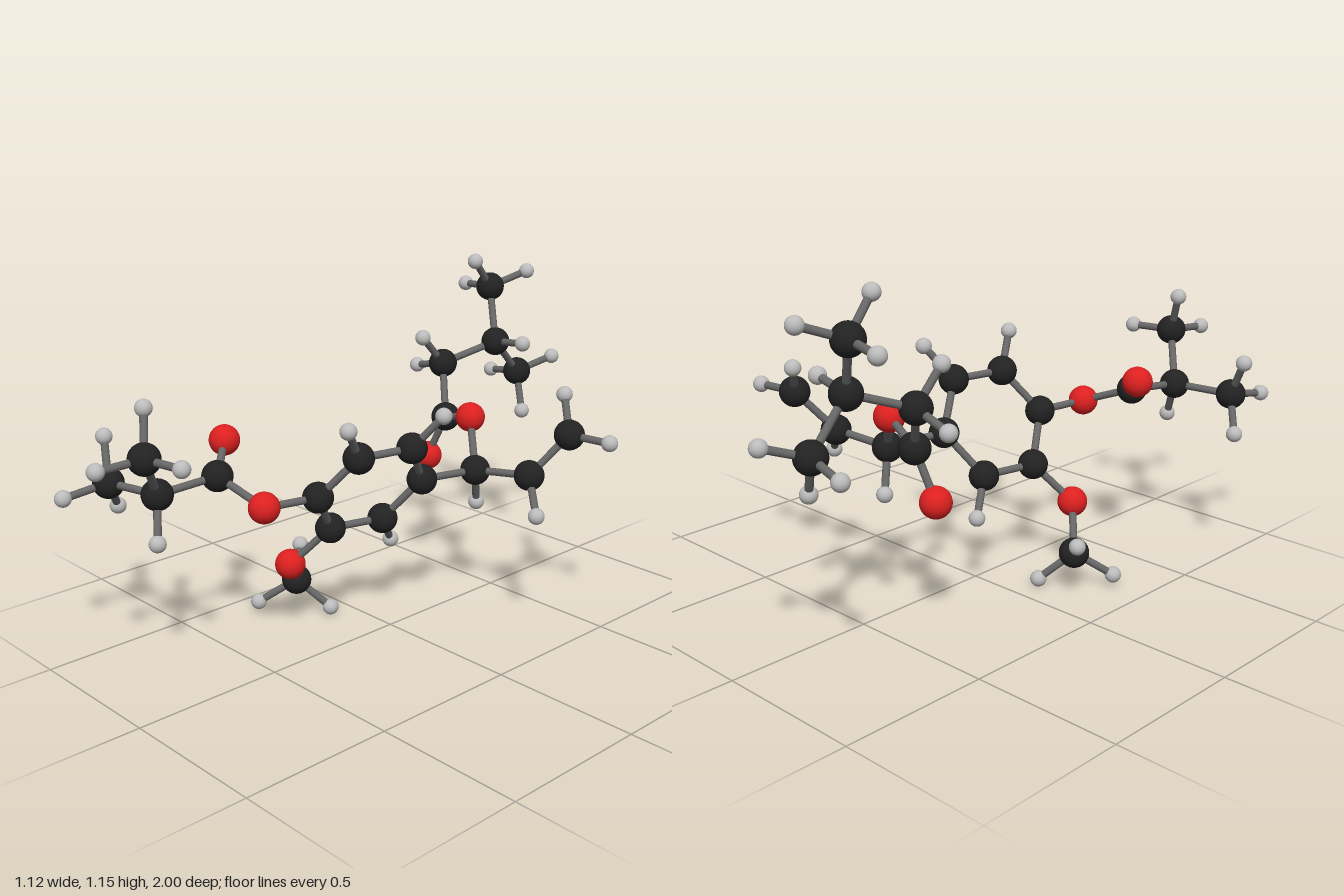
import * as THREE from 'three';

const paint = (color) => new THREE.MeshStandardMaterial({ color });

// Atom kinds: plain name, radius, colour
const KINDS = {
  C: { name: 'carbon', radius: 0.05, color: 0x222222 },
  O: { name: 'oxygen', radius: 0.05, color: 0xdd2020 },
  H: { name: 'hydrogen', radius: 0.027, color: 0xbbbbbb },
};
const BOND_RADIUS = 0.0125;
const BOND_REACH = 0.245; // atoms closer than this are joined

// Atom centres, grouped by fragment and kind
const FRAGMENTS = {
  ring: {
    C: [[0.062, 0.519, -0.083], [0.125, 0.664, 0.025], [0.084, 0.664, 0.214],
      [-0.02, 0.528, 0.292], [-0.087, 0.379, 0.185], [-0.041, 0.376, -0.003]],
    H: [[0.205, 0.774, -0.034], [0.132, 0.779, 0.298], [-0.092, 0.265, -0.088]],
  },
  methoxyArm: {
    O: [[-0.186, 0.248, 0.275]],
    C: [[-0.291, 0.127, 0.164]],
    H: [[-0.382, 0.203, 0.07], [-0.38, 0.046, 0.26], [-0.202, 0.031, 0.09]],
  },
  frontEsterArm: {
    O: [[-0.056, 0.532, 0.477], [-0.339, 0.669, 0.408]],
    C: [[-0.233, 0.6, 0.518], [-0.262, 0.582, 0.722], [-0.466, 0.578, 0.764], [-0.166, 0.741, 0.822]],
    H: [[-0.202, 0.452, 0.77],
      [-0.535, 0.706, 0.727], [-0.535, 0.467, 0.693], [-0.49, 0.556, 0.912],
      [-0.02, 0.74, 0.794], [-0.187, 0.732, 0.972], [-0.222, 0.875, 0.778]],
  },
  vinylArm: {
    C: [[0.105, 0.512, -0.291], [0.305, 0.533, -0.333], [0.383, 0.667, -0.434]],
    H: [[0.064, 0.376, -0.344], [0.393, 0.431, -0.271], [0.302, 0.774, -0.501], [0.529, 0.667, -0.455]],
  },
  backEsterArm: {
    O: [[-0.001, 0.656, -0.376], [-0.242, 0.453, -0.416]],
    C: [[-0.172, 0.609, -0.433], [-0.267, 0.771, -0.514], [-0.182, 0.835, -0.696],
      [-0.267, 1.015, -0.755], [-0.207, 0.693, -0.847]],
    H: [[-0.414, 0.735, -0.531], [-0.266, 0.88, -0.411], [-0.036, 0.854, -0.676],
      [-0.244, 1.122, -0.649], [-0.414, 1.003, -0.783], [-0.204, 1.064, -0.881],
      [-0.15, 0.738, -0.976], [-0.357, 0.668, -0.871], [-0.145, 0.56, -0.81]],
  },
};

export function createModel() {
  const model = new THREE.Group();
  const atoms = [];

  // Atoms: one sphere each, sharing geometry and material by kind
  const looks = {};
  for (const [kind, { radius, color }] of Object.entries(KINDS)) {
    looks[kind] = { geometry: new THREE.SphereGeometry(radius, 32, 20), material: paint(color) };
  }
  for (const [name, lists] of Object.entries(FRAGMENTS)) {
    const fragment = new THREE.Group();
    fragment.name = name;
    for (const [kind, centres] of Object.entries(lists)) {
      for (const centre of centres) {
        const ball = new THREE.Mesh(looks[kind].geometry, looks[kind].material);
        ball.name = KINDS[kind].name;
        ball.position.set(...centre);
        fragment.add(ball);
        atoms.push({ kind, position: ball.position });
      }
    }
    model.add(fragment);
  }

  // Bonds: a rod between every pair of neighbouring atoms
  const bonds = new THREE.Group();
  bonds.name = 'bonds';
  const rod = new THREE.CylinderGeometry(BOND_RADIUS, BOND_RADIUS, 1, 16, 1, true);
  const rodMaterial = paint(0x666666);
  const up = new THREE.Vector3(0, 1, 0);
  atoms.forEach((a, i) => {
    for (const b of atoms.slice(i + 1)) {
      const span = b.position.clone().sub(a.position);
      const length = span.length();
      if (length > BOND_REACH || (a.kind === 'H' && b.kind === 'H')) continue;
      const bond = new THREE.Mesh(rod, rodMaterial);
      bond.name = 'bond';
      bond.scale.y = length;
      bond.position.copy(a.position).addScaledVector(span, 0.5);
      bond.quaternion.setFromUnitVectors(up, span.normalize());
      bonds.add(bond);
    }
  });
  model.add(bonds);
  return model;
}
